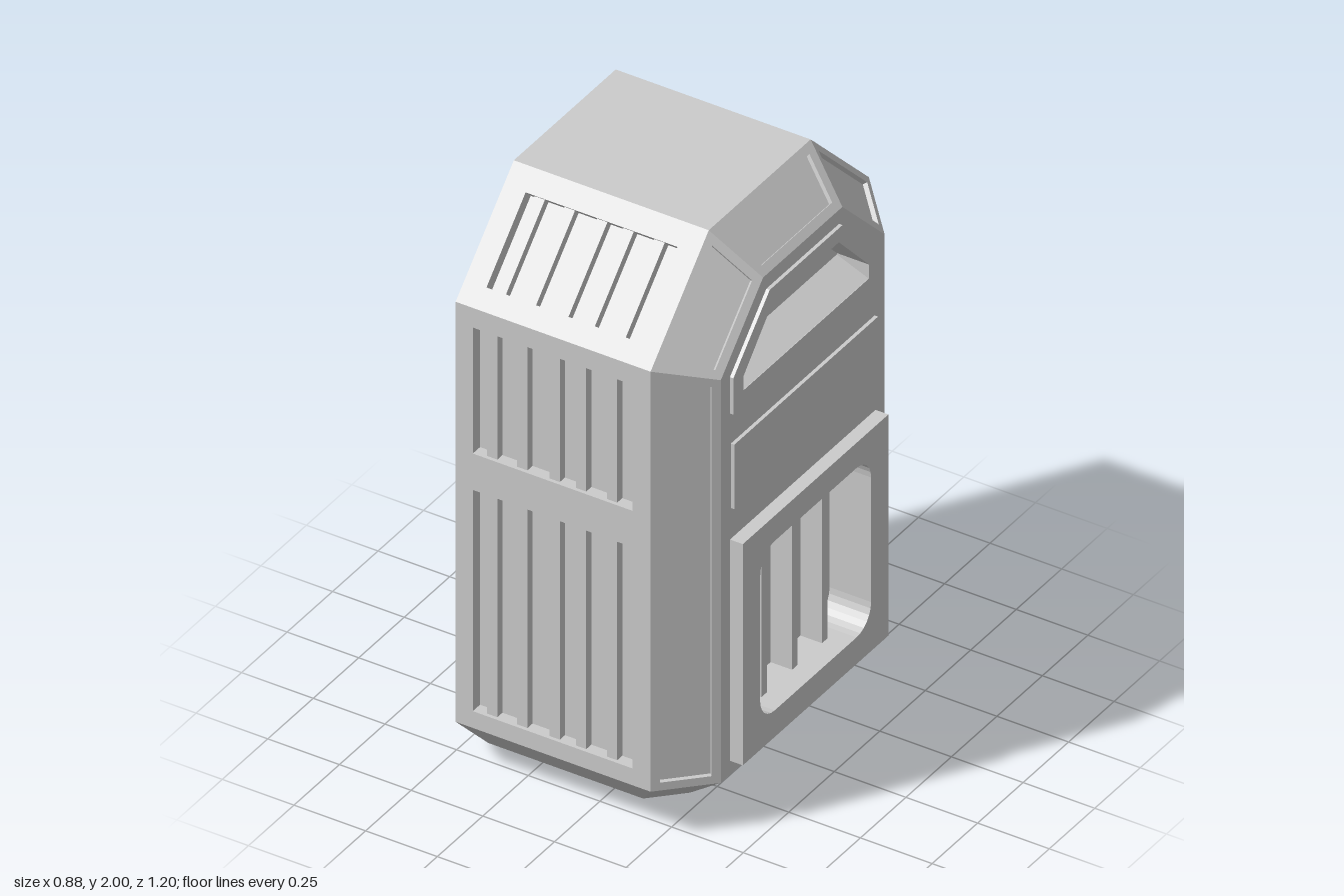
import * as THREE from 'three';

const V = (x, y, z) => new THREE.Vector3(x, y, z);
const mat = new THREE.MeshStandardMaterial({ color: 0xcccccc, flatShading: true });
const INSIDE = V(-0.05, 1, 0);

// Local drawing plane on a flat face: +z points out of the body
function makePlane(corners) {
  const c = corners[0];
  const u = corners[1].clone().sub(c).normalize();
  const n = u.clone().cross(corners[2].clone().sub(c)).normalize();
  if (n.dot(c.clone().sub(INSIDE)) < 0) n.negate();
  const v = n.clone().cross(u);
  const to2D = pts => {
    const out = pts.map(p => {
      const d = p.clone().sub(c);
      return new THREE.Vector2(d.dot(u), d.dot(v));
    });
    return THREE.ShapeUtils.isClockWise(out) ? out.reverse() : out;
  };
  const group = new THREE.Group();
  group.applyMatrix4(new THREE.Matrix4().makeBasis(u, v, n).setPosition(c));
  const add = (name, geometry, z = 0) => {
    const mesh = new THREE.Mesh(geometry, mat);
    mesh.name = name;
    mesh.position.z = z;
    group.add(mesh);
  };
  return { group, to2D, add };
}

function makeShape(outline, holes = []) {
  const s = new THREE.Shape(outline);
  holes.forEach(h => s.holes.push(new THREE.Path(h)));
  return s;
}

const slab = (shape, depth) => new THREE.ExtrudeGeometry(shape, { depth, bevelEnabled: false });

// Inward offset of a convex 2D polygon
function inset(poly, m) {
  const k = poly.length;
  const normal = i => {
    const d = poly[(i + 1) % k].clone().sub(poly[i]).normalize();
    return new THREE.Vector2(-d.y, d.x);
  };
  return poly.map((p, i) => {
    const a = normal((i + k - 1) % k), b = normal(i);
    return p.clone().addScaledVector(a.clone().add(b), m / (1 + a.dot(b)));
  });
}

// Walls lining a recess, facing the opening
function recessWalls(hole, depth) {
  const pos = [];
  hole.forEach((a, i) => {
    const b = hole[(i + 1) % hole.length];
    pos.push(a.x, a.y, 0, b.x, b.y, 0, b.x, b.y, -depth);
    pos.push(a.x, a.y, 0, b.x, b.y, -depth, a.x, a.y, -depth);
  });
  const g = new THREE.BufferGeometry();
  g.setAttribute('position', new THREE.Float32BufferAttribute(pos, 3));
  g.computeVertexNormals();
  return g;
}

// Flat body face with optional recesses and raised bars on their floors
function addFace(parent, name, corners, { holes = [], margin = 0, depth = 0.04, bars = [], barHeight = 0.028 } = {}) {
  const plane = makePlane(corners);
  const outline = plane.to2D(corners);
  const cuts = holes.map(plane.to2D);
  if (margin) cuts.push(inset(outline, margin));
  plane.add(name, new THREE.ShapeGeometry(makeShape(outline, cuts)));
  cuts.forEach(h => {
    plane.add(name + 'RecessWall', recessWalls(h, depth));
    plane.add(name + 'RecessFloor', new THREE.ShapeGeometry(makeShape(h)), -depth);
  });
  bars.forEach(b => plane.add(name + 'Bar', slab(makeShape(plane.to2D(b)), barHeight), -depth));
  plane.group.name = name + 'Group';
  parent.add(plane.group);
  return plane;
}

// Rounded rectangle in the x = const plane
function roundedRect(x, hz, y0, y1, r) {
  const pts = [];
  const centres = [[hz - r, y1 - r], [r - hz, y1 - r], [r - hz, y0 + r], [hz - r, y0 + r]];
  centres.forEach(([z, y], q) => {
    for (let i = 0; i <= 6; i++) {
      const a = (q + i / 6) * Math.PI / 2;
      pts.push(V(x, y + r * Math.sin(a), z + r * Math.cos(a)));
    }
  });
  return pts;
}

export function createModel() {
  const model = new THREE.Group();
  model.name = 'cabinet';
  const B = -0.44, M = 0.24, F = 0.39; // back, bevel start, front along x
  const mirrored = pts => [...pts, ...pts.map(([z, y]) => [-z, y]).reverse()];
  const atX = (x, zy) => zy.map(([z, y]) => V(x, y, z));

  // Back and top
  addFace(model, 'backPanel', atX(B, mirrored([[0.42, 0], [0.6, 0.18], [0.6, 1.68], [0.28, 2]])));
  addFace(model, 'topPanel', [V(B, 2, 0.28), V(M, 2, 0.28), V(M, 2, -0.28), V(B, 2, -0.28)]);

  // Underside and front skirt
  addFace(model, 'underside', [V(B, 0, 0.42), V(0.1, 0, 0.42), V(0.2, 0, 0.32),
    V(0.2, 0, -0.32), V(0.1, 0, -0.42), V(B, 0, -0.42)]);
  addFace(model, 'frontSkirt', [V(F, 0.18, 0.45), V(F, 0.18, -0.45), V(0.2, 0, -0.32), V(0.2, 0, 0.32)]);

  const barX = [-0.32, -0.215, -0.102, -0.01, 0.098];
  for (const s of [1, -1]) {
    // Vented side: strips run between two [y, z] ends
    const strip = (x0, x1, [ya, za], [yb, zb]) =>
      [V(x0, ya, s * za), V(x1, ya, s * za), V(x1, yb, s * zb), V(x0, yb, s * zb)];
    const vents = (x0, x1, spans) => ({
      holes: spans.map(([a, b]) => strip(x0, x1, a, b)),
      bars: spans.flatMap(([a, b]) => barX.map(x => strip(x - 0.018, x + 0.018, a, b))),
    });
    addFace(model, 'sidePanel', strip(B, M, [0.18, 0.6], [1.68, 0.6]),
      vents(-0.38, 0.177, [[[0.24, 0.6], [1.03, 0.6]], [[1.16, 0.6], [1.61, 0.6]]]));
    addFace(model, 'slopedPanel', strip(B, M, [1.68, 0.6], [2, 0.28]),
      vents(-0.364, 0.166, [[[1.73, 0.55], [1.945, 0.335]]]));

    // Skirt below the side and its corner
    addFace(model, 'sideSkirt', [V(B, 0.18, s * 0.6), V(M, 0.18, s * 0.6), V(0.1, 0, s * 0.42), V(B, 0, s * 0.42)]);
    addFace(model, 'cornerSkirt', [V(M, 0.18, s * 0.6), V(F, 0.18, s * 0.45), V(0.2, 0, s * 0.32), V(0.1, 0, s * 0.42)]);

    // Bevels with shallow inset panels
    const bevel = { margin: 0.028, depth: 0.015 };
    addFace(model, 'cornerBevel', [V(M, 0.18, s * 0.6), V(F, 0.18, s * 0.45),
      V(F, 1.618, s * 0.45), V(M, 1.68, s * 0.6)], bevel);
    addFace(model, 'shoulderBevel', [V(M, 1.68, s * 0.6), V(F, 1.618, s * 0.45),
      V(F, 1.85, s * 0.218), V(M, 2, s * 0.28)], bevel);
  }
  addFace(model, 'topBevel', [V(M, 2, 0.28), V(F, 1.85, 0.218), V(F, 1.85, -0.218), V(M, 2, -0.28)],
    { margin: 0.03, depth: 0.015 });

  // Front face with tray pocket and barred window
  const pocket = atX(F, mirrored([[0.345, 1.525], [0.345, 1.575], [0.18, 1.75]]));
  const grille = roundedRect(F, 0.305, 0.325, 0.93, 0.08);
  const front = addFace(model, 'frontFace', atX(F, mirrored([[0.45, 0.18], [0.45, 1.618], [0.218, 1.85]])), {
    holes: [pocket, grille],
    depth: 0.1,
    bars: [0.172, 0.004, -0.16].map(z =>
      atX(F, [[z - 0.015, 0.325], [z + 0.015, 0.325], [z + 0.015, 0.93], [z - 0.015, 0.93]])),
    barHeight: 0.075,
  });

  // Raised front plates
  const plate = (name, zy, thickness, holes = []) => front.add(name,
    slab(makeShape(front.to2D(atX(F, mirrored(zy))), holes.map(front.to2D)), thickness));
  plate('pocketPlate', [[0.4, 1.47], [0.4, 1.6], [0.2, 1.8]], 0.012, [pocket]);
  plate('blankPlate', [[0.395, 1.13], [0.395, 1.36]], 0.012);
  plate('windowPlate', [[0.4, 0.23], [0.4, 1.02]], 0.045, [grille]);

  // Sloping sill inside the pocket
  const sill = new THREE.Mesh(slab(makeShape([new THREE.Vector2(0.4, 1.525),
    new THREE.Vector2(0.29, 1.57), new THREE.Vector2(0.29, 1.525)]), 0.69), mat);
  sill.name = 'pocketSill';
  sill.position.z = -0.345;
  model.add(sill);

  return model;
}
